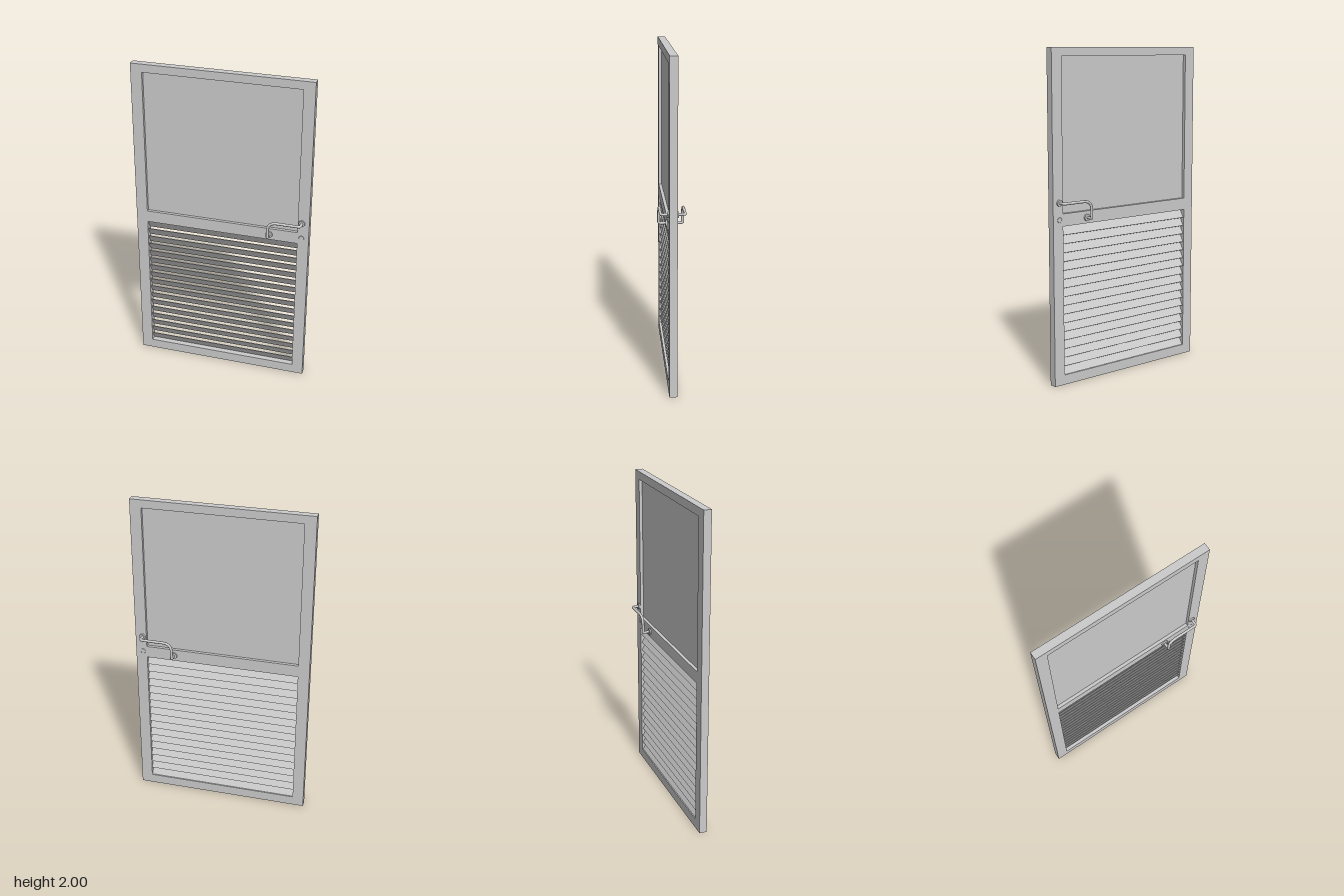
import * as THREE from 'three';

const W = 1.1, H = 2, T = 0.047;            // door leaf
const OPEN_W = 0.96;                        // width of both openings
const UPPER = [1.04, 1.95], LOWER = [0.06, 0.965];

export function createModel() {
  const door = new THREE.Group();
  door.name = 'door';
  const grey = new THREE.MeshStandardMaterial({ color: 0xcccccc });

  const add = (name, geometry, parent = door) => {
    const mesh = new THREE.Mesh(geometry, grey);
    mesh.name = name;
    parent.add(mesh);
    return mesh;
  };

  const rect = (path, x0, y0, x1, y1) => {
    path.moveTo(x0, y0);
    path.lineTo(x1, y0);
    path.lineTo(x1, y1);
    path.lineTo(x0, y1);
    path.closePath();
    return path;
  };

  // Frame with an upper and a lower opening
  const outline = rect(new THREE.Shape(), -W / 2, 0, W / 2, H);
  for (const [y0, y1] of [UPPER, LOWER]) {
    outline.holes.push(rect(new THREE.Path(), -OPEN_W / 2, y0, OPEN_W / 2, y1));
  }
  const frame = new THREE.ExtrudeGeometry(outline, { depth: T, bevelEnabled: false });
  add('frame', frame.translate(0, 0, -T / 2));

  // Recessed upper panel
  const panel = add('upperPanel', new THREE.BoxGeometry(OPEN_W, UPPER[1] - UPPER[0], 0.008));
  panel.position.y = (UPPER[0] + UPPER[1]) / 2;

  // Louvre slats, sloping from the front top to the back bottom
  const louvre = new THREE.Group();
  louvre.name = 'louvre';
  door.add(louvre);
  const COUNT = 17, pitch = (LOWER[1] - LOWER[0]) / COUNT;
  const slatGeometry = new THREE.BoxGeometry(OPEN_W, 0.062, 0.004);
  for (let i = 0; i < COUNT; i++) {
    const slat = add('slat', slatGeometry, louvre);
    slat.position.y = LOWER[0] + pitch * (i + 0.5);
    slat.rotation.x = Math.PI / 6;
  }

  // A disc lying on a face of the door
  const disc = (name, x, y, side, radius, thickness, parent) => {
    const geometry = new THREE.CylinderGeometry(radius * 0.92, radius, thickness, 24);
    const mesh = add(name, geometry.rotateX(side * Math.PI / 2), parent);
    mesh.position.set(x, y, side * (T / 2 + thickness / 2));
  };

  // Bent pull handle with rosettes and a lock, on both faces
  for (const side of [1, -1]) {
    const handle = new THREE.Group();
    handle.name = side > 0 ? 'frontHandle' : 'backHandle';
    door.add(handle);

    const p = (x, y, z) => new THREE.Vector3(x, y, side * z);
    const near = T / 2, far = 0.07;
    const path = new THREE.CurvePath();
    const line = (a, b) => path.add(new THREE.LineCurve3(a, b));
    const bend = (a, b, c) => path.add(new THREE.QuadraticBezierCurve3(a, b, c));
    line(p(0.305, 1.0, near), p(0.305, 1.0, far - 0.008));
    bend(p(0.305, 1.0, far - 0.008), p(0.305, 1.0, far), p(0.305, 1.008, far));
    line(p(0.305, 1.008, far), p(0.305, 1.05, far));
    bend(p(0.305, 1.05, far), p(0.305, 1.106, far), p(0.365, 1.106, far));
    line(p(0.365, 1.106, far), p(0.49, 1.106, far));
    bend(p(0.49, 1.106, far), p(0.505, 1.106, far), p(0.505, 1.106, far - 0.016));
    line(p(0.505, 1.106, far - 0.016), p(0.505, 1.106, near));
    add('handleBar', new THREE.TubeGeometry(path, 100, 0.0085, 12), handle);

    disc('rosette', 0.305, 1.0, side, 0.022, 0.008, handle);
    disc('rosette', 0.505, 1.106, side, 0.02, 0.008, handle);
    disc('lock', 0.505, 1.005, side, 0.016, 0.001, handle);
  }

  return door;
}
